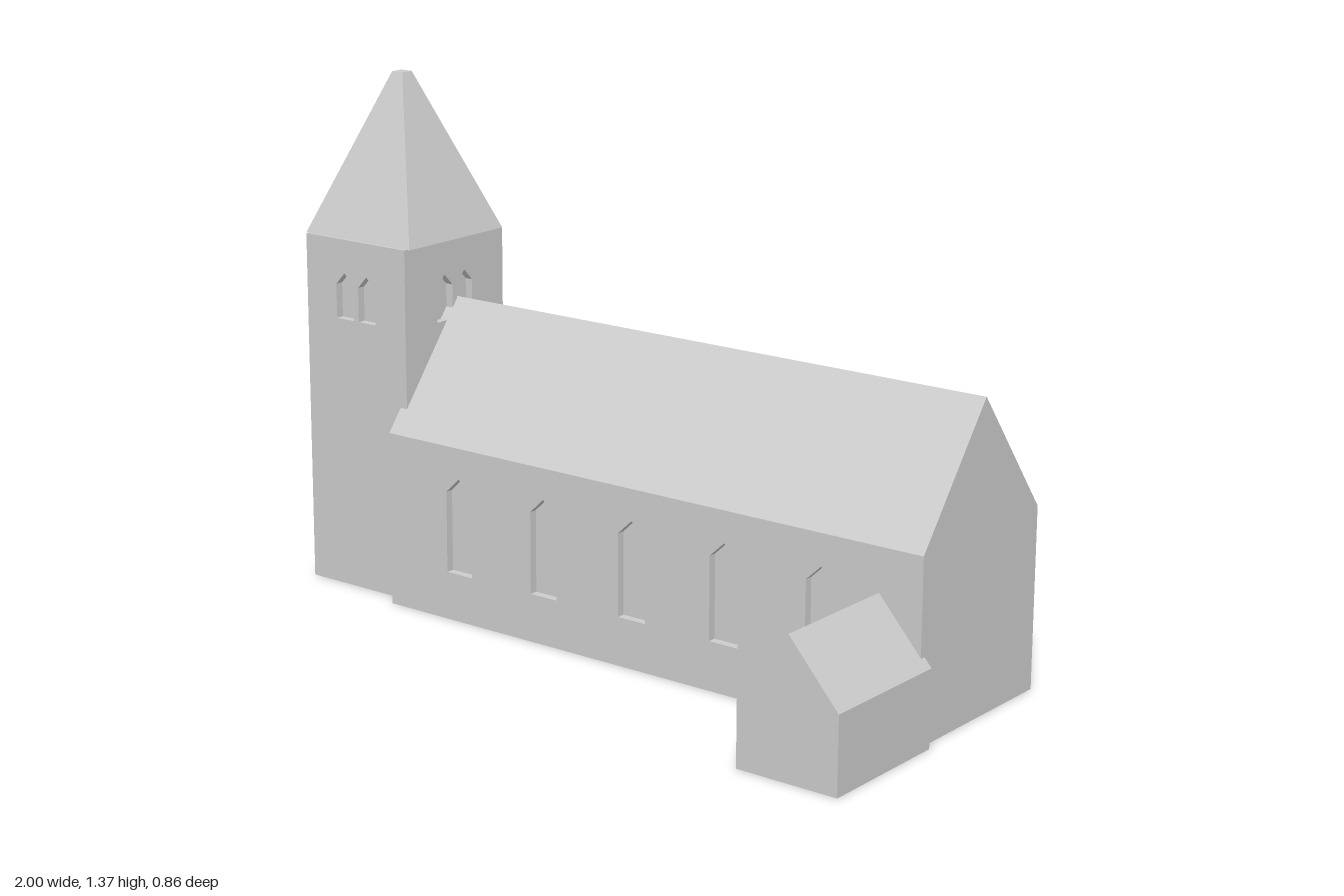
import * as THREE from 'three';

const stone = new THREE.MeshStandardMaterial({ color: 0xcccccc, flatShading: true });
stone.name = 'stone';

const REVEAL = 0.022; // depth of window and door recesses

function add(parent, name, geometry, x = 0, y = 0, z = 0, turn = 0) {
  const mesh = new THREE.Mesh(geometry, stone);
  mesh.name = name;
  mesh.position.set(x, y, z);
  mesh.rotation.y = turn;
  parent.add(mesh);
  return mesh;
}

const polygon = (pts) => pts.map(([x, y]) => new THREE.Vector2(x, y));
const extrude = (shape, depth) => new THREE.ExtrudeGeometry(shape, { depth, bevelEnabled: false });

// Outline of an opening with a pointed head
function pointedOpening({ x, width, sill, shoulder, peak }) {
  const h = width / 2;
  return [[x - h, sill], [x - h, shoulder], [x, peak], [x + h, shoulder], [x + h, sill]];
}

// Wall slab centred on x = 0, its outer face at z = 0, with window holes and an optional door notch
function wallSlab(width, height, windows, door) {
  const notch = door ? pointedOpening(door) : [];
  const shape = new THREE.Shape(polygon([
    [-width / 2, 0], ...notch, [width / 2, 0], [width / 2, height], [-width / 2, height],
  ]));
  for (const w of windows) shape.holes.push(new THREE.Path(polygon(pointedOpening(w))));
  return extrude(shape, REVEAL).translate(0, 0, -REVEAL);
}

function buildNave() {
  const nave = new THREE.Group();
  nave.name = 'nave';
  const x0 = -0.665, x1 = 0.98, length = x1 - x0, cx = (x0 + x1) / 2;
  const cz = -0.18, half = 0.25, eave = 0.467, ridge = 0.79, inner = half - REVEAL;

  // Core and gabled roof as one profile run along x; the slabs fill in under the eaves
  const profile = new THREE.Shape(polygon([
    [-inner, 0], [inner, 0], [inner, eave], [half, eave], [0, ridge], [-half, eave], [-inner, eave],
  ]));
  add(nave, 'naveBodyAndRoof', extrude(profile, length), x0, 0, cz, Math.PI / 2);

  // Five tall windows along each side
  for (const side of [1, -1]) {
    const windows = [];
    for (let i = 0; i < 5; i++) {
      windows.push({
        x: side * (-0.427 + i * 0.2815 - cx), width: 0.085, sill: 0.128, shoulder: 0.345, peak: 0.385,
      });
    }
    add(nave, side > 0 ? 'frontNaveWall' : 'backNaveWall', wallSlab(length, eave, windows),
      cx, 0, cz + side * half, side > 0 ? 0 : Math.PI);
  }
  return nave;
}

function buildTower() {
  const tower = new THREE.Group();
  tower.name = 'tower';
  tower.position.set(-0.817, 0, -0.168);
  const w = 0.348, d = 0.386, height = 0.947;

  add(tower, 'towerCore',
    new THREE.BoxGeometry(w - 2 * REVEAL, height, d - 2 * REVEAL), 0, height / 2, 0);

  // A pair of belfry windows on each side
  const belfry = [-0.039, 0.039].map((x) => (
    { x, width: 0.06, sill: 0.733, shoulder: 0.825, peak: 0.857 }));
  const door = { x: 0, width: 0.085, sill: 0, shoulder: 0.105, peak: 0.145 };
  const sideWidth = d - 2 * REVEAL;
  add(tower, 'frontTowerWall', wallSlab(w, height, belfry), 0, 0, d / 2);
  add(tower, 'backTowerWall', wallSlab(w, height, belfry), 0, 0, -d / 2, Math.PI);
  add(tower, 'naveSideTowerWall', wallSlab(sideWidth, height, belfry), w / 2, 0, 0, Math.PI / 2);
  add(tower, 'doorTowerWall', wallSlab(sideWidth, height, belfry, door), -w / 2, 0, 0, -Math.PI / 2);

  // Four-sided spire with a blunt tip
  const rise = 1.37 - height;
  const spire = new THREE.CylinderGeometry(0.018 * Math.SQRT2, 0.183 * Math.SQRT2, rise, 4);
  spire.rotateY(Math.PI / 4);
  add(tower, 'spire', spire, 0, height + rise / 2, 0);
  return tower;
}

// Small gabled porch standing out from the front wall
function buildPorch(parent) {
  const half = 0.139, profile = new THREE.Shape(polygon([
    [-half, 0], [half, 0], [half, 0.198], [0, 0.355], [-half, 0.198],
  ]));
  add(parent, 'porch', extrude(profile, 0.375), 0.861, 0, 0.055);
}

export function createModel() {
  const church = new THREE.Group();
  church.name = 'church';
  church.add(buildNave(), buildTower());
  buildPorch(church);
  return church;
}
